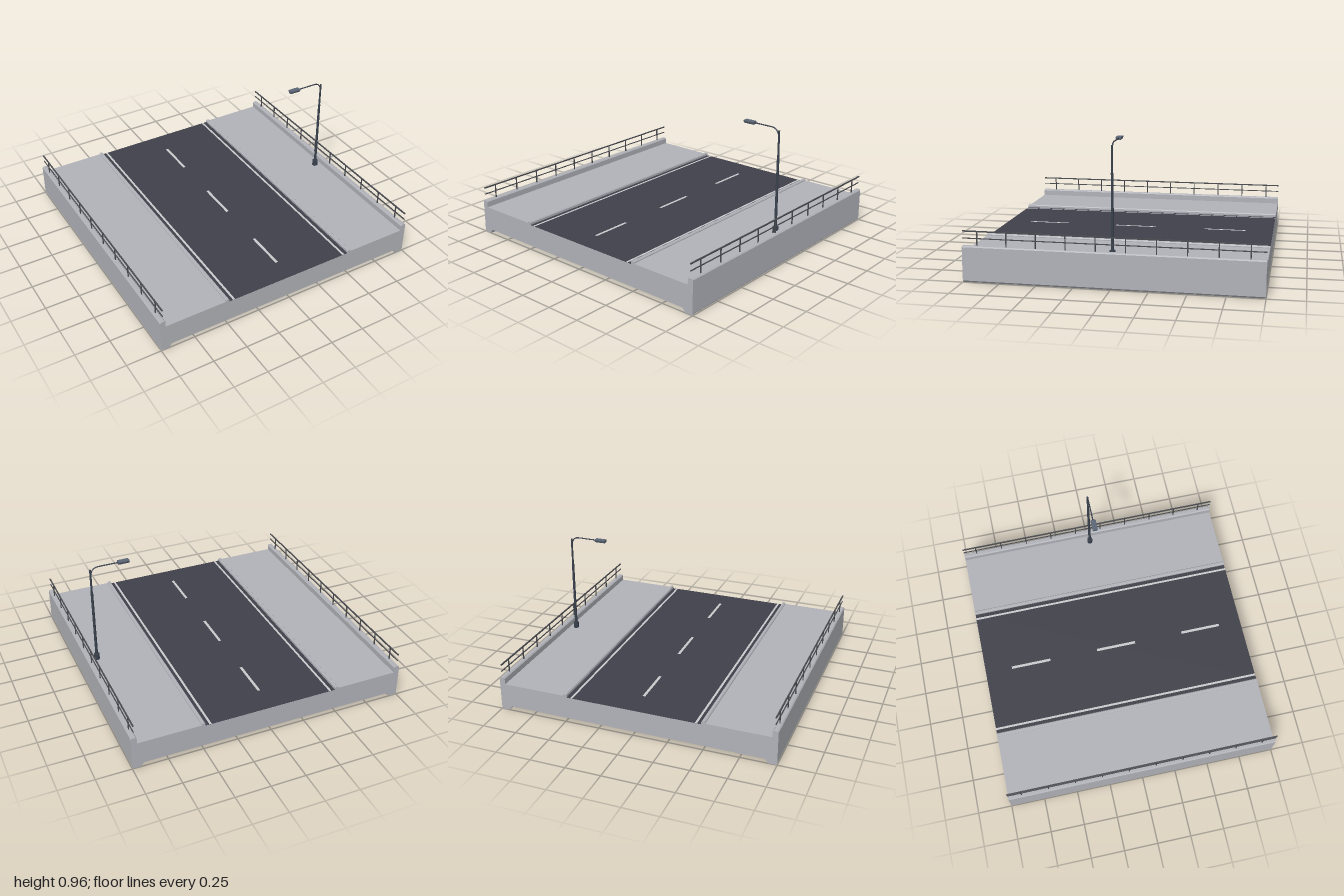
import * as THREE from 'three';

const mat = (name, color) => {
  const m = new THREE.MeshStandardMaterial({ color });
  m.name = name;
  return m;
};

export function createModel() {
  const concrete = mat('concrete', 0xb0b2b8);
  const underside = mat('dark concrete', 0x868b8f);
  const asphalt = mat('asphalt', 0x40404a);
  const paint = mat('road paint', 0xc8cacc);
  const railMetal = mat('rail metal', 0x4a4b50);
  const lampMetal = mat('lamp metal', 0x3a424e);
  const lampCase = mat('lamp case', 0x5c6675);

  const model = new THREE.Group();
  model.name = 'bridgeSection';

  const add = (parent, name, geometry, material, x = 0, y = 0, z = 0) => {
    const mesh = new THREE.Mesh(geometry, material);
    mesh.name = name;
    mesh.position.set(x, y, z);
    parent.add(mesh);
    return mesh;
  };
  const flat = (w, d) => new THREE.PlaneGeometry(w, d).rotateX(-Math.PI / 2);

  // Deck cross-section: road bed, kerb, pavement, parapet and edge rib, mirrored
  const half = [
    [0.485, 0.189], [0.485, 0.206], [0.491, 0.213], [0.505, 0.213], [0.511, 0.206], [0.511, 0.2],
    [0.96, 0.2], [0.96, 0.24], [0.968, 0.248], [0.992, 0.248], [1, 0.24],
    [1, 0.012], [0.99, 0], [0.94, 0], [0.92, 0.03],
  ];
  const outline = [...half, ...half.map(([x, y]) => [-x, y]).reverse()];
  const section = new THREE.Shape(outline.map(([x, y]) => new THREE.Vector2(x, y)));
  const deck = new THREE.ExtrudeGeometry(section, { depth: 2, bevelEnabled: false });
  add(model, 'deck', deck.translate(0, 0, -1), concrete);
  add(model, 'deckUnderside', flat(1.84, 2).rotateX(Math.PI), underside, 0, 0.029);

  // Road surface and painted lines
  add(model, 'roadSurface', flat(0.97, 2), asphalt, 0, 0.1905);
  for (const s of [-1, 1]) add(model, 'edgeLine', flat(0.016, 2), paint, s * 0.449, 0.192);
  for (const z of [-0.65, 0.015, 0.682]) add(model, 'centreDash', flat(0.02, 0.3), paint, 0, 0.192, z);

  // Railings on both parapets
  for (const s of [-1, 1]) {
    const railing = new THREE.Group();
    railing.name = s > 0 ? 'leftRailing' : 'rightRailing';
    railing.position.x = s * 0.98;
    model.add(railing);
    add(railing, 'topRail', new THREE.BoxGeometry(0.009, 0.008, 2), railMetal, 0, 0.346);
    add(railing, 'middleRail', new THREE.BoxGeometry(0.006, 0.006, 2), railMetal, 0, 0.298);
    for (let i = 0; i < 10; i++) {
      add(railing, 'railPost', new THREE.BoxGeometry(0.007, 0.1, 0.007), railMetal, 0, 0.296, -0.9 + i * 0.2);
    }
  }

  // Street lamp on the left pavement
  const lamp = new THREE.Group();
  lamp.name = 'streetLamp';
  lamp.position.set(0.912, 0.2, 0);
  model.add(lamp);
  add(lamp, 'lampBase', new THREE.CylinderGeometry(0.02, 0.021, 0.045, 8), lampMetal, 0, 0.0225);
  add(lamp, 'lowerPole', new THREE.CylinderGeometry(0.009, 0.01, 0.51, 10), lampMetal, 0, 0.3);
  add(lamp, 'upperPole', new THREE.CylinderGeometry(0.007, 0.007, 0.18, 10), lampMetal, 0, 0.645);
  const path = new THREE.CurvePath();
  path.add(new THREE.QuadraticBezierCurve3(
    new THREE.Vector3(0, 0.69, 0), new THREE.Vector3(-0.01, 0.75, 0), new THREE.Vector3(-0.06, 0.75, 0)));
  path.add(new THREE.LineCurve3(new THREE.Vector3(-0.06, 0.75, 0), new THREE.Vector3(-0.22, 0.75, 0)));
  add(lamp, 'lampArm', new THREE.TubeGeometry(path, 40, 0.0045, 8), lampMetal);

  // Lamp head with a tapered underside
  const headShape = new THREE.Shape([
    [-0.012, -0.012], [0.012, -0.012], [0.019, 0.002], [0.019, 0.009], [-0.019, 0.009], [-0.019, 0.002],
  ].map(([z, y]) => new THREE.Vector2(z, y)));
  const head = new THREE.ExtrudeGeometry(headShape, { depth: 0.08, bevelEnabled: false });
  add(lamp, 'lampHead', head.rotateY(-Math.PI / 2), lampCase, -0.2, 0.75);

  return model;
}
